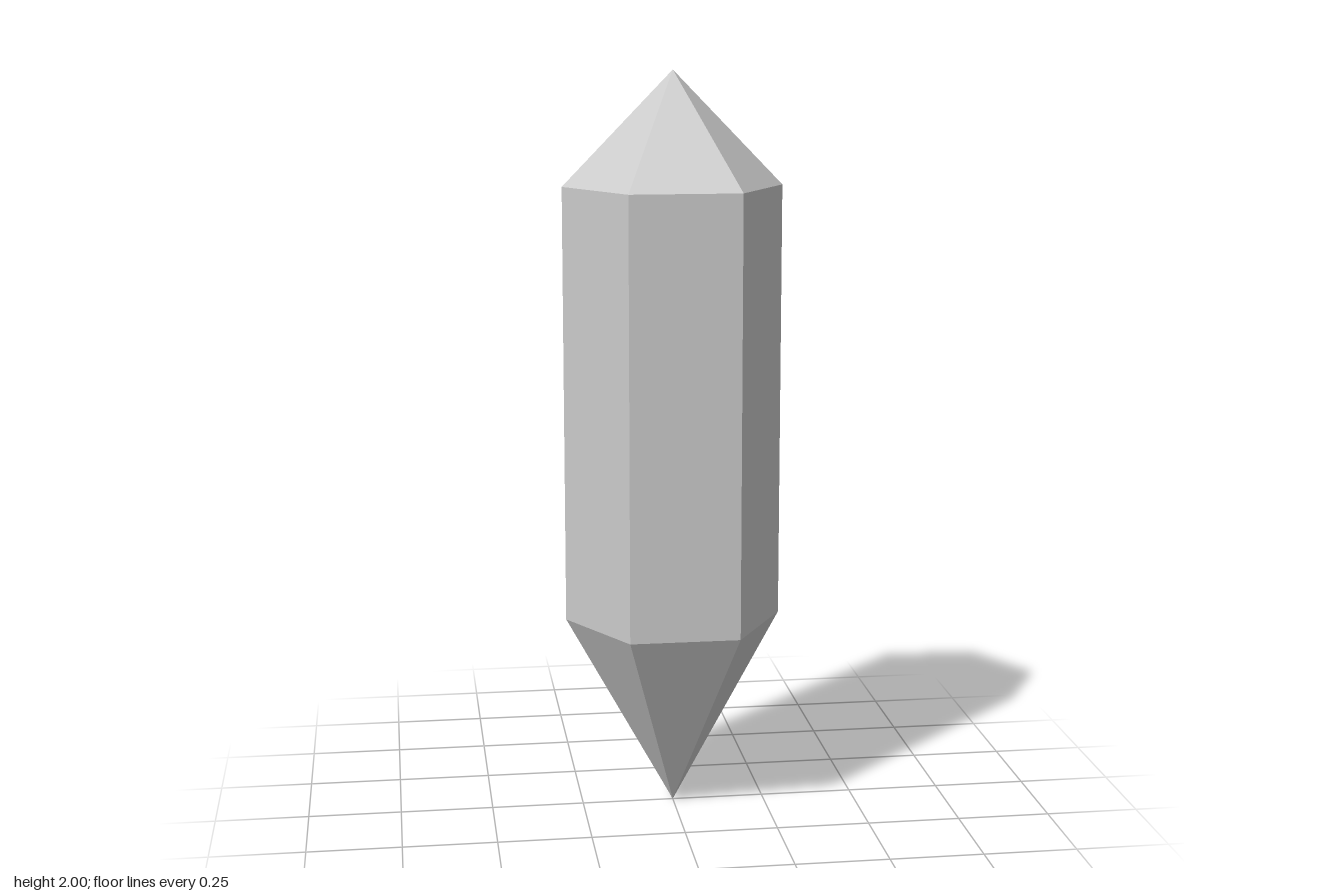
import * as THREE from 'three';

const RADIUS = 0.292;
const SIDES = 6;
const SHOULDER_LOW = 0.53;
const SHOULDER_HIGH = 1.7;
const TOP = 2;

export function createModel() {
  const crystal = new THREE.Group();
  crystal.name = 'crystal';
  const material = new THREE.MeshStandardMaterial({ color: 0xcccccc, flatShading: true });

  // Open six-sided section between two heights, with corners on the x axis
  const addSection = (name, topRadius, bottomRadius, yLow, yHigh) => {
    const geometry = new THREE.CylinderGeometry(
      topRadius, bottomRadius, yHigh - yLow, SIDES, 1, true, Math.PI / 2);
    const mesh = new THREE.Mesh(geometry, material);
    mesh.name = name;
    mesh.position.y = (yLow + yHigh) / 2;
    crystal.add(mesh);
  };

  // Long lower point, straight shaft and short upper point
  addSection('lowerPoint', RADIUS, 0, 0, SHOULDER_LOW);
  addSection('shaft', RADIUS, RADIUS, SHOULDER_LOW, SHOULDER_HIGH);
  addSection('upperPoint', 0, RADIUS, SHOULDER_HIGH, TOP);

  return crystal;
}
